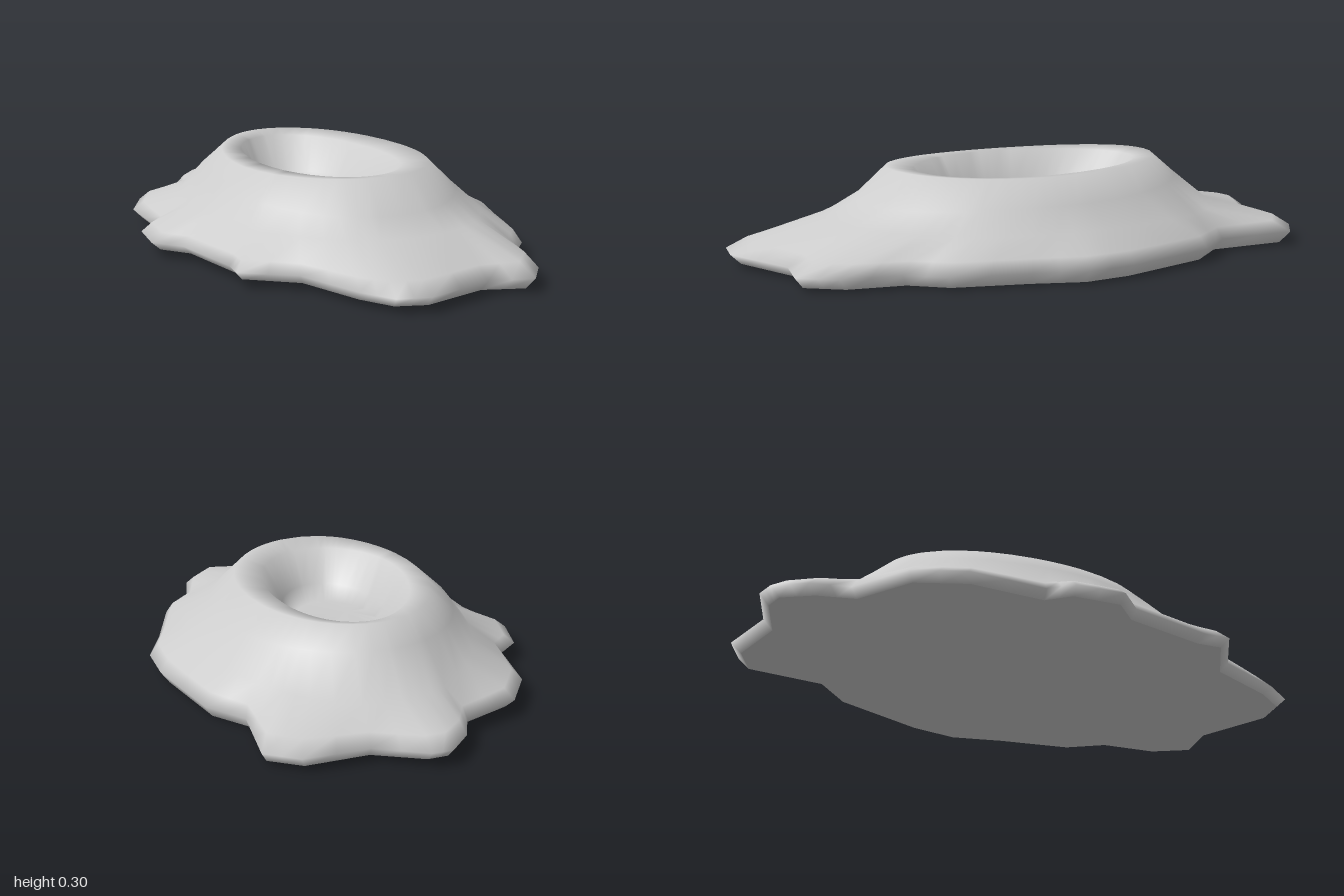
import * as THREE from 'three';

// Ragged ground outline, clockwise from the back (x, z)
const OUTLINE = [
  [-0.09, -1.0], [0.08, -0.92], [0.3, -0.95], [0.41, -0.88], [0.41, -0.6], [0.52, -0.47],
  [0.62, -0.13], [0.635, 0.04], [0.58, 0.22], [0.52, 0.48], [0.43, 0.6], [0.4, 0.8],
  [0.32, 0.92], [0.17, 0.89], [-0.08, 1.0], [-0.19, 0.98], [-0.26, 0.87], [-0.35, 0.62],
  [-0.52, 0.51], [-0.51, 0.42], [-0.56, 0.12], [-0.64, 0.03], [-0.62, -0.14], [-0.55, -0.21],
  [-0.54, -0.48], [-0.46, -0.65], [-0.27, -0.76], [-0.23, -0.89], [-0.16, -0.99],
];

// Inner loops as [reach, height] towards each side
const LOOPS = [
  { right: [0.5, 0.14], left: [0.46, 0.14], front: [0.68, 0.15], back: [0.75, 0.12] }, // foot of slope
  { right: [0.42, 0.215], left: [0.4, 0.22], front: [0.57, 0.2], back: [0.6, 0.24] }, // flank
  { right: [0.335, 0.298], left: [0.32, 0.292], front: [0.46, 0.305], back: [0.525, 0.305] }, // crest
  { right: [0.24, 0.285], left: [0.25, 0.295], front: [0.36, 0.29], back: [0.46, 0.29] }, // inner lip
  { right: [0.17, 0.18], left: [0.19, 0.17], front: [0.28, 0.18], back: [0.37, 0.17] }, // bowl wall
  { right: [0.13, 0.13], left: [0.16, 0.13], front: [0.22, 0.13], back: [0.24, 0.14] }, // floor
];

const bottomY = (x) => 0.014 - 0.021 * x;

// Quarter-ellipse loop point in the direction of an outline point
function loopPoint(loop, [x, z]) {
  const side = x > 0 ? loop.right : loop.left;
  const end = z > 0 ? loop.front : loop.back;
  const a = Math.atan2(z / 1.55, x);
  const c = Math.cos(a), s = Math.sin(a);
  return [side[0] * c, side[1] * c * c + end[1] * s * s, end[0] * s];
}

// Skin a list of loops and close the last one on a centre point
function skin(rings, centre) {
  const n = rings[0].length, index = [];
  for (let r = 0; r < rings.length - 1; r++) {
    for (let i = 0; i < n; i++) {
      const j = (i + 1) % n;
      const a = r * n + i, b = r * n + j, c = a + n, d = b + n;
      index.push(a, c, b, b, c, d);
    }
  }
  const last = (rings.length - 1) * n;
  for (let i = 0; i < n; i++) index.push(last + i, rings.length * n, last + (i + 1) % n);
  const geometry = new THREE.BufferGeometry();
  geometry.setAttribute('position', new THREE.Float32BufferAttribute([...rings.flat(), centre].flat(), 3));
  geometry.setIndex(index);
  geometry.computeVertexNormals();
  return geometry;
}

export function createModel() {
  const group = new THREE.Group();
  group.name = 'crater';
  const stone = new THREE.MeshStandardMaterial({ color: 0xcccccc });
  stone.name = 'pale grey stone';

  // Outline with a midpoint on every edge
  const outline = OUTLINE.flatMap((p, i) => {
    const q = OUTLINE[(i + 1) % OUTLINE.length];
    return [p, [(p[0] + q[0]) / 2, (p[1] + q[1]) / 2]];
  });

  const base = outline.map(([x, z]) => [x * 0.95, bottomY(x), z * 0.965]);
  const edge = outline.map(([x, z]) => [x, 0.048 - 0.01 * x, z]);
  const inner = LOOPS.map((loop) => outline.map((p) => loopPoint(loop, p)));

  // Rounded shoulder just inside the edge
  const shoulder = edge.map((p, i) => {
    const q = inner[0][i];
    return [p[0] + (q[0] - p[0]) * 0.22, 0.085, p[2] + (q[2] - p[2]) * 0.22];
  });

  // Slopes, rim, bowl and low central mound
  const ground = new THREE.Mesh(skin([base, edge, shoulder, ...inner], [-0.03, 0.195, -0.08]), stone);
  ground.name = 'craterSlopes';
  group.add(ground);

  // Flat underside, wound the other way round
  const underside = new THREE.Mesh(skin([[...base].reverse()], [0, bottomY(0), 0]), stone);
  underside.name = 'underside';
  group.add(underside);

  return group;
}
